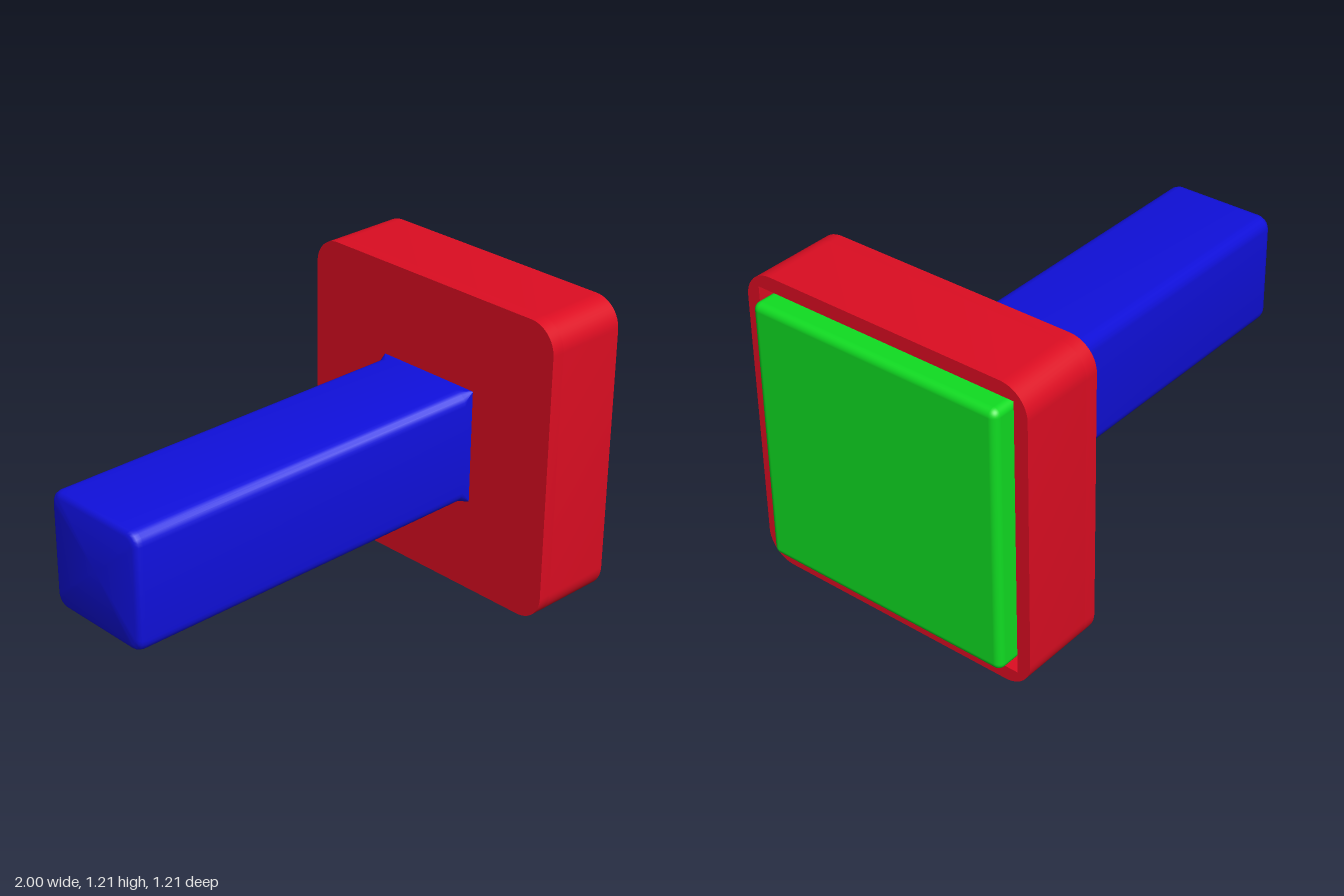
import * as THREE from 'three';
import { toCreasedNormals } from 'three/addons/utils/BufferGeometryUtils.js';
import { RoundedBoxGeometry } from 'three/addons/geometries/RoundedBoxGeometry.js';

const MID = 0.605; // height of the model's axis

const paint = (color) => new THREE.MeshStandardMaterial({ color });

function part(name, geometry, color) {
  const mesh = new THREE.Mesh(geometry, paint(color));
  mesh.name = name;
  mesh.position.y = MID;
  return mesh;
}

// Square of half-width h with rounded corners of radius r
function roundedSquare(h, r) {
  const s = new THREE.Shape();
  const c = h - r;
  [[c, c], [-c, c], [-c, -c], [c, -c]].forEach(([x, y], i) => {
    s.absarc(x, y, r, i * Math.PI / 2, (i + 1) * Math.PI / 2, false);
  });
  s.closePath();
  return s;
}

// Extrude a shape along +x between x0 and x1
function slab(shape, x0, x1) {
  const g = new THREE.ExtrudeGeometry(shape, { depth: x1 - x0, bevelEnabled: false, curveSegments: 6 });
  g.rotateY(Math.PI / 2).translate(x0, 0, 0);
  return toCreasedNormals(g, 0.6);
}

// Loft of rounded squares along x; each section is [x, half-width, corner radius]
function loft(sections, steps = 5) {
  const pos = [], index = [];
  const n = 4 * (steps + 1);
  for (const [x, h, r] of sections) {
    for (let q = 0; q < 4; q++) {
      const mid = (q + 0.5) * Math.PI / 2;
      const cy = Math.sign(Math.cos(mid)) * (h - r), cz = Math.sign(Math.sin(mid)) * (h - r);
      for (let i = 0; i <= steps; i++) {
        const a = (q + i / steps) * Math.PI / 2;
        pos.push(x, cy + r * Math.cos(a), cz + r * Math.sin(a));
      }
    }
  }
  const last = sections.length - 1;
  for (let s = 0; s < last; s++) {
    for (let i = 0; i < n; i++) {
      const j = (i + 1) % n, a = s * n, b = a + n;
      index.push(a + i, a + j, b + j, a + i, b + j, b + i);
    }
  }
  // End caps
  const c0 = pos.length / 3;
  pos.push(sections[0][0], 0, 0, sections[last][0], 0, 0);
  for (let i = 0; i < n; i++) {
    const j = (i + 1) % n;
    index.push(c0, j, i, c0 + 1, last * n + i, last * n + j);
  }
  const g = new THREE.BufferGeometry();
  g.setAttribute('position', new THREE.Float32BufferAttribute(pos, 3));
  g.setIndex(index);
  return toCreasedNormals(g, 0.6);
}

export function createModel() {
  const model = new THREE.Group();
  model.name = 'pushButton';

  // Stem with a rounded free end, turning square where it meets the housing
  model.add(part('stem', loft([
    [-1, 0.205, 0.035], [-0.995, 0.218, 0.042], [-0.986, 0.226, 0.047], [-0.97, 0.23, 0.05],
    [0.55, 0.23, 0.05], [0.588, 0.23, 0.002], [0.6, 0.23, 0.002],
  ]), 0x1010dd));

  // Housing: back plate and a rim around a square recess
  const housing = new THREE.Group();
  housing.name = 'housing';
  const rim = roundedSquare(0.605, 0.11);
  const h = 0.55;
  rim.holes.push(new THREE.Path([[-h, -h], [-h, h], [h, h], [h, -h]].map(([x, y]) => new THREE.Vector2(x, y))));
  housing.add(part('backPlate', slab(roundedSquare(0.605, 0.11), 0.587, 0.64), 0xdd0d22));
  housing.add(part('rim', slab(rim, 0.64, 0.937), 0xdd0d22));
  model.add(housing);

  // Button cap standing proud of the rim
  const cap = part('buttonCap', new RoundedBoxGeometry(0.36, 1.054, 1.054, 4, 0.03), 0x10dd22);
  cap.position.x = 0.82;
  model.add(cap);

  return model;
}
